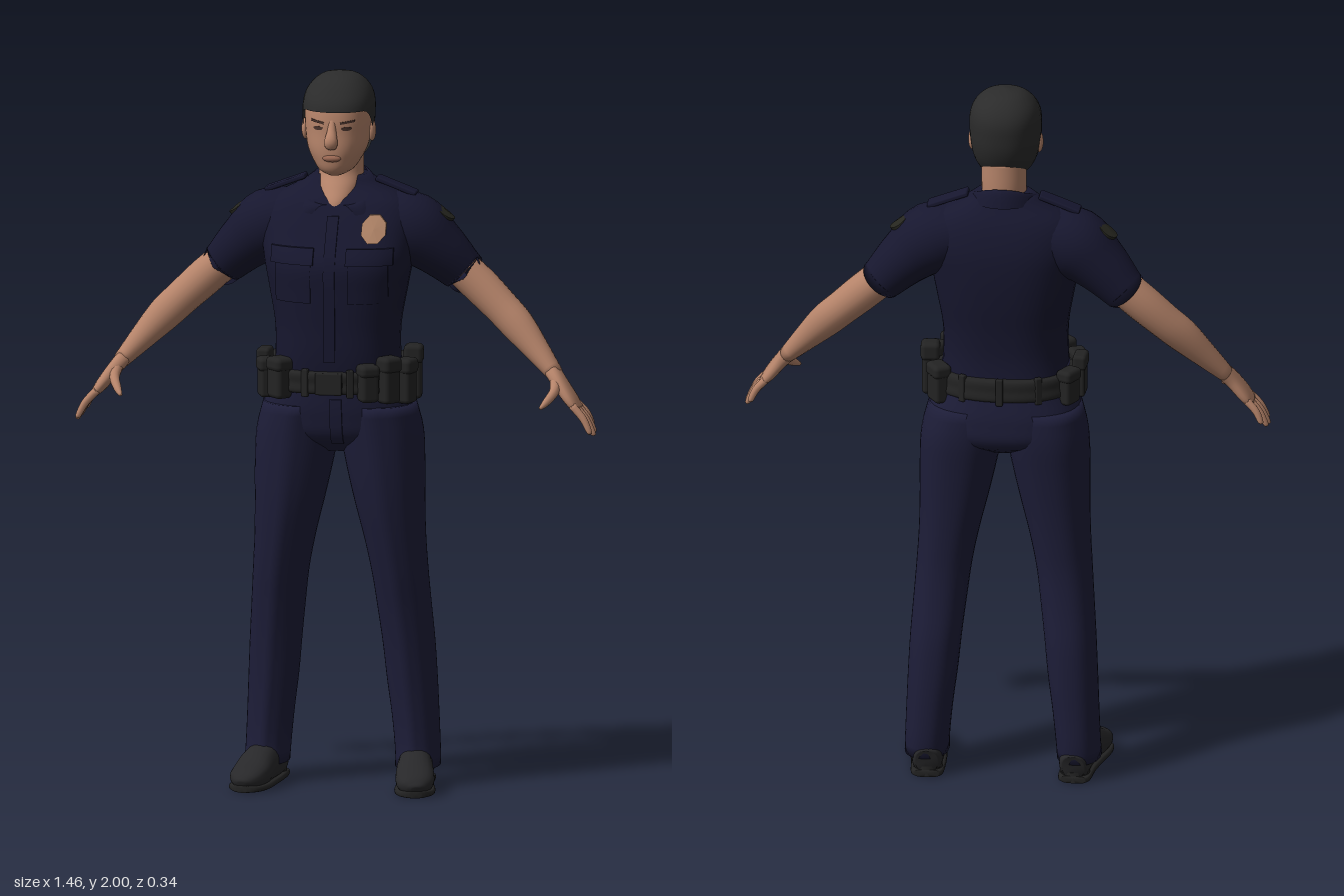
import * as THREE from 'three';
import { mergeVertices } from 'three/addons/utils/BufferGeometryUtils.js';
import { RoundedBoxGeometry } from 'three/addons/geometries/RoundedBoxGeometry.js';

const paint = (name, color, side = THREE.FrontSide) => {
  const m = new THREE.MeshStandardMaterial({ color, side });
  m.name = name;
  return m;
};
const V = (x, y, z) => new THREE.Vector3(x, y, z);
const pow = (c, n) => Math.sign(c) * Math.abs(c) ** (2 / n);

// Smooth grid surface from a function of (u, v); outward side is du x dv.
function surface(fn, nu, nv) {
  const pos = [], index = [];
  for (let j = 0; j <= nv; j++) for (let i = 0; i <= nu; i++) pos.push(...fn(i / nu, j / nv, j).toArray());
  for (let j = 0; j < nv; j++) for (let i = 0; i < nu; i++) {
    const a = j * (nu + 1) + i, b = a + 1, c = b + nu + 1, d = c - 1;
    index.push(a, b, c, a, c, d);
  }
  let g = new THREE.BufferGeometry();
  g.setAttribute('position', new THREE.Float32BufferAttribute(pos, 3));
  g.setIndex(index);
  g = mergeVertices(g, 1e-5);
  g.computeVertexNormals();
  return g;
}

// Rows are [y, halfWidth, frontZ, backZ, centreX], rising in y; smooth interpolation between them.
function sample(rows, y) {
  let i = 0;
  while (i < rows.length - 2 && y > rows[i + 1][0]) i++;
  const r0 = rows[i], r1 = rows[i + 1], p = rows[Math.max(0, i - 1)], q = rows[Math.min(rows.length - 1, i + 2)];
  const h = r1[0] - r0[0], t = Math.min(1, Math.max(0, (y - r0[0]) / h));
  return r0.map((a, k) => {
    const b = r1[k], m0 = (b - p[k]) / (r1[0] - p[0]) * h, m1 = (q[k] - a) / (q[0] - r0[0]) * h;
    return a + t * t * (3 - 2 * t) * (b - a) + (t ** 3 - 2 * t * t + t) * m0 + (t ** 3 - t * t) * m1;
  });
}
function ringPoint(rows, n, y, a, grow = 0) {
  const [, w, f, b, cx = 0] = sample(rows, y);
  return V(cx + (w + grow) * pow(Math.sin(a), n), y, (f + b) / 2 + ((f - b) / 2 + grow) * pow(Math.cos(a), n));
}
function loft(rows, n = 2.3, steps = 28, crease = 0) {
  const y0 = rows[0][0], y1 = rows[rows.length - 1][0];
  return surface((u, v, j) => {
    const t = Math.min(1, Math.max(0, (j - 1) / steps)), y = y0 + (y1 - y0) * t;
    const [, w, f, b, cx = 0] = sample(rows, y);
    if (j === 0 || j === steps + 2) return V(cx, y, (f + b) / 2);
    const p = ringPoint(rows, n, y, u * Math.PI * 2);
    if (crease && p.z > (f + b) / 2) p.z += crease * Math.max(0, 1 - Math.abs(p.x - cx) / (w * 0.3));
    return p;
  }, 40, steps + 2);
}
// Front surface depth of a loft, and a helper that lays a flat part on it.
function surfZ(rows, n, x, y) {
  const [, w, f, b] = sample(rows, y);
  return (f + b) / 2 + (f - b) / 2 * (1 - Math.min(1, Math.abs(x) / w) ** n) ** (1 / n);
}
function drape(geo, x, y, rows, n) {
  geo.translate(x, y, 0);
  const p = geo.attributes.position;
  for (let i = 0; i < p.count; i++) p.setZ(i, p.getZ(i) + surfZ(rows, n, p.getX(i), p.getY(i)));
  geo.computeVertexNormals();
  return geo;
}
// Closed tube through [x, y, z, radiusA, radiusB], mirrored in x by s.
function limb(pts, s = 1, ref = V(0, 0, 1), n = 2, nu = 20) {
  const path = new THREE.CatmullRomCurve3(pts.map(p => V(p[0] * s, p[1], p[2])), false, 'catmullrom');
  const size = new THREE.CatmullRomCurve3(pts.map(p => V(p[3], p[4], 0)), false, 'catmullrom');
  const steps = (pts.length - 1) * 4;
  return surface((u, v, j) => {
    const t = Math.min(1, Math.max(0, (j - 1) / steps)), c = path.getPoint(t);
    if (j === 0 || j === steps + 2) return c;
    const T = path.getTangent(t), A = ref.clone().cross(T).normalize(), B = T.clone().cross(A), r = size.getPoint(t);
    const a = (u % 1) * Math.PI * 2;
    return c.addScaledVector(A, r.x * pow(Math.cos(a), n)).addScaledVector(B, r.y * pow(Math.sin(a), n));
  }, nu, steps + 2);
}

const TORSO = [[1.12, .18, .12, -.16], [1.22, .172, .132, -.15], [1.3, .173, .135, -.155], [1.4, .19, .14, -.17],
  [1.48, .205, .14, -.178], [1.55, .216, .105, -.178], [1.61, .21, .072, -.167], [1.65, .18, .045, -.152],
  [1.68, .12, .005, -.135], [1.71, .075, -.01, -.12]];
const PELVIS = [[.945, .06, .03, -.1], [.985, .19, .088, -.165], [1.05, .213, .11, -.175], [1.12, .195, .12, -.165], [1.19, .175, .125, -.15]];
const HEAD = [[1.722, .02, .065, 0], [1.735, .046, .088, -.05], [1.77, .07, .098, -.09], [1.8, .083, .1, -.11],
  [1.84, .09, .097, -.125], [1.88, .093, .095, -.13], [1.92, .092, .086, -.13], [1.95, .082, .064, -.118],
  [1.975, .06, .035, -.095], [1.988, .035, .005, -.07], [1.994, 0, -.03, -.031]];

export function createModel() {
  const model = new THREE.Group();
  model.name = 'uniformedOfficer';
  const skin = paint('skin', 0xb6846a), shirt = paint('shirt navy', 0x17172f, THREE.DoubleSide);
  const trouser = paint('trouser navy', 0x1d1d38), leather = paint('belt leather', 0x232323);
  const hairMat = paint('hair', 0x2b2b2b, THREE.DoubleSide), shoeMat = paint('shoe', 0x28282a);
  const patchMat = paint('sleeve patch', 0x26261f), badgeMat = paint('badge', 0xb88a6c);
  const dark = paint('eye brown', 0x47312a), lip = paint('lip', 0x9a6853);
  const add = (name, geo, mat) => {
    const m = new THREE.Mesh(geo, mat);
    m.name = name;
    model.add(m);
    return m;
  };

  // Head, face and neck
  add('head', loft(HEAD, 2.2, 40), skin);
  add('neck', loft([[1.6, .02, .058, -.05], [1.64, .045, .056, -.08], [1.68, .06, .03, -.11], [1.72, .062, .005, -.115], [1.8, .062, 0, -.115]], 2), skin);
  add('nose', limb([[0, 1.89, .082, .009, .008], [0, 1.855, .095, .012, .012], [0, 1.822, .11, .019, .016], [0, 1.806, .1, .014, .01]]), skin);
  const lips = add('lips', new THREE.SphereGeometry(1, 16, 10), lip);
  lips.scale.set(.026, .01, .012);
  lips.position.set(0, 1.775, .096);
  for (const s of [1, -1]) {
    const ear = add('ear', new THREE.SphereGeometry(1, 14, 10), skin);
    ear.scale.set(.011, .03, .019);
    ear.position.set(s * .093, 1.838, -.015);
    add('eye', drape(new THREE.CylinderGeometry(.014, .014, .004, 16).rotateX(Math.PI / 2).scale(1, .4, 1), s * .04, 1.858, HEAD, 2.2), dark);
    add('eyebrow', drape(new THREE.BoxGeometry(.038, .006, .007, 6, 1, 1).rotateZ(s * .15), s * .042, 1.876, HEAD, 2.2), dark);
  }
  // Hair cap, its lower edge dropping from forehead to nape
  add('hair', surface((u, v) => {
    const a = u * Math.PI * 2;
    const line = 1.768 + .135 * THREE.MathUtils.smoothstep(Math.cos(a), -.55, .6);
    const y = line + (1.994 - line) * (1 - (1 - v) ** 2);
    const p = ringPoint(HEAD, 2.2, y, a, v === 1 ? -.0001 : .006);
    p.y += .006 * v;
    return p;
  }, 48, 24), hairMat);

  // Shirt body with draped front details
  add('shirtBody', loft(TORSO, 2.5, 40), shirt);
  const onChest = (name, w, h, d, x, y) => add(name, drape(new THREE.BoxGeometry(w, h, d, 8, 8, 1), x, y, TORSO, 2.5), shirt);
  onChest('placket', .032, .4, .01, 0, 1.41);
  for (const s of [1, -1]) {
    onChest('chestPocket', .105, .12, .008, s * .105, 1.435);
    onChest('pocketFlap', .125, .045, .022, s * .108, 1.505);
  }
  add('badge', drape(new THREE.CylinderGeometry(.035, .035, .016, 8).rotateX(Math.PI / 2).rotateZ(Math.PI / 8).scale(1, 1.15, 1), .115, 1.578, TORSO, 2.5), badgeMat);

  // Folded collar, open at the throat
  for (const s of [1, -1]) add('collar', surface((u, v) => {
    const a = u * Math.PI, c = Math.cos(a), k = Math.max(0, c);
    const top = V(s * (.078 * Math.sin(a) + .012 * k), 1.685 - .05 * c, -.04 + .088 * c);
    const low = V(s * (.1 * Math.sin(a) + .06 * k * k), 1.685 - .072 * k, -.04 + .108 * c);
    const p = top.lerp(low, v);
    p.y += .012 * Math.sin(v * Math.PI);
    p.z += .006 * k * Math.sin(v * Math.PI);
    return p;
  }, 24, 5), shirt);

  for (const s of [1, -1]) {
    // Sleeve, shoulder strap and patch
    add('sleeve', limb([[.1, 1.59, -.055, .075, .09], [.195, 1.56, -.06, .1, .1], [.265, 1.508, -.07, .081, .084],
      [.328, 1.447, -.084, .064, .062], [.336, 1.439, -.085, .062, .06]], s, undefined, 2, 28), shirt);
    const strap = add('shoulderStrap', new RoundedBoxGeometry(.12, .014, .05, 2, .005), shirt);
    strap.position.set(s * .155, 1.678, -.058);
    strap.rotation.z = -s * .36;
    const patchGeo = new THREE.CylinderGeometry(.034, .034, .008, 20), pp = patchGeo.attributes.position;
    for (let i = 0; i < pp.count; i++) pp.setY(i, pp.getY(i) - pp.getZ(i) ** 2 / .18 - pp.getX(i) ** 2 / .5);
    patchGeo.computeVertexNormals();
    const patch = add('sleevePatch', patchGeo, patchMat);
    patch.position.set(s * .288, 1.609, -.066);
    patch.rotation.z = -s * .68;

    // Bare arm, palm, fingers and thumb
    add('arm', limb([[.3, 1.475, -.085, .05, .05], [.38, 1.405, -.08, .052, .05], [.445, 1.345, -.068, .049, .047],
      [.495, 1.297, -.052, .047, .043], [.55, 1.237, -.03, .036, .035], [.608, 1.172, -.004, .023, .028]], s), skin);
    add('palm', limb([[.598, 1.183, -.008, .022, .027], [.625, 1.15, .01, .02, .036], [.657, 1.108, .02, .017, .044],
      [.677, 1.083, .023, .011, .04]], s, undefined, 2.4), skin);
    [.75, .95, 1, .9].forEach((len, i) => {
      const k = i - 1.5, x = .665, y = 1.097, z = .022 + k * .021;
      const at = (t, r) => [x + .058 * t * len + .008 * Math.sin(t * Math.PI), y - .085 * t * len, z + k * .008 * t, r, r];
      add('finger', limb([at(0, .011), at(.45, .0105), at(.9, .008), at(1, .004)], s, undefined, 2, 10), skin);
    });
    add('thumb', limb([[.613, 1.16, .02, .016, .016], [.615, 1.135, .055, .014, .014], [.6, 1.112, .092, .011, .011],
      [.587, 1.098, .116, .005, .005]], s, V(0, 1, 0), 2, 12), skin);

    // Trouser leg from [y, innerX, outerX, frontZ, backZ]
    const leg = [[.055, .15, .272, .015, -.165], [.1, .148, .27, .003, -.17], [.2, .138, .266, 0, -.17], [.3, .125, .262, .005, -.168],
      [.4, .115, .257, .015, -.162], [.5, .103, .25, .03, -.148], [.6, .09, .243, .05, -.14], [.7, .07, .237, .068, -.143],
      [.8, .045, .235, .083, -.15], [.9, .022, .235, .093, -.16], [1, .004, .23, .1, -.17], [1.08, 0, .21, .105, -.165]]
      .map(([y, i, o, f, b]) => [y, (o - i) / 2, f, b, s * (o + i) / 2]);
    add('trouserLeg', loft(leg, 2.3, 36, .008), trouser);

    // Shoe and sole, toes turned out
    const shoe = [[.203, .045, -.16, .03, .036], [.204, .05, -.14, .042, .046], [.208, .056, -.06, .046, .054], [.218, .055, .01, .05, .052],
      [.228, .042, .07, .054, .038], [.236, .034, .115, .048, .029], [.242, .026, .138, .03, .019], [.244, .022, .146, .012, .01]];
    add('shoe', limb(shoe, s, V(0, 1, 0), 2.4), shoeMat);
    add('sole', limb(shoe.map(([x, , z, r]) => [x, .01, z, r + .003, .01]), s, V(0, 1, 0), 4), leather);
    add('heel', new THREE.CylinderGeometry(.04, .042, .03, 20).scale(1, 1, 1.1).translate(s * .204, .015, -.115), leather);
  }

  // Trouser seat and fly
  add('trouserSeat', loft(PELVIS, 2.4, 24), trouser);
  add('fly', drape(new THREE.BoxGeometry(.034, .13, .012, 4, 8, 1), .014, 1.04, PELVIS, 2.4), trouser);

  // Duty belt with buckle, pouches and keepers
  add('belt', loft([[1.118, .18, .12, -.155], [1.122, .2, .14, -.172], [1.15, .199, .142, -.172], [1.181, .194, .142, -.168], [1.185, .17, .12, -.15]], 2.2, 22), leather);
  const onBelt = (name, deg, w, h, d, y, out) => {
    const a = deg * Math.PI / 180, m = add(name, new RoundedBoxGeometry(w, h, d, 2, Math.min(w, d) * .25), leather);
    m.position.set((.198 + out) * Math.sin(a), y, -.015 + (.157 + out) * Math.cos(a));
    m.rotation.y = a;
  };
  onBelt('buckle', 0, .075, .062, .018, 1.152, .002);
  [[31, .052, .105, .05, 1.155], [50, .055, .13, .046, 1.16], [72, .055, .125, .045, 1.15], [95, .05, .15, .046, 1.165], [122, .065, .11, .045, 1.15],
    [-44, .06, .115, .05, 1.16], [-68, .055, .11, .04, 1.15], [-92, .06, .12, .03, 1.16], [-118, .06, .1, .04, 1.15]]
    .forEach(([deg, w, h, d, y]) => {
      onBelt('beltPouch', deg, w, h, d, y, .01);
      onBelt('pouchFlap', deg, w + .006, h * .35, d + .008, y + h * .33, .01);
    });
  for (const deg of [-20, 17, 148, 180, -148]) onBelt('beltKeeper', deg, .02, .078, .016, 1.152, 0);

  return model;
}
